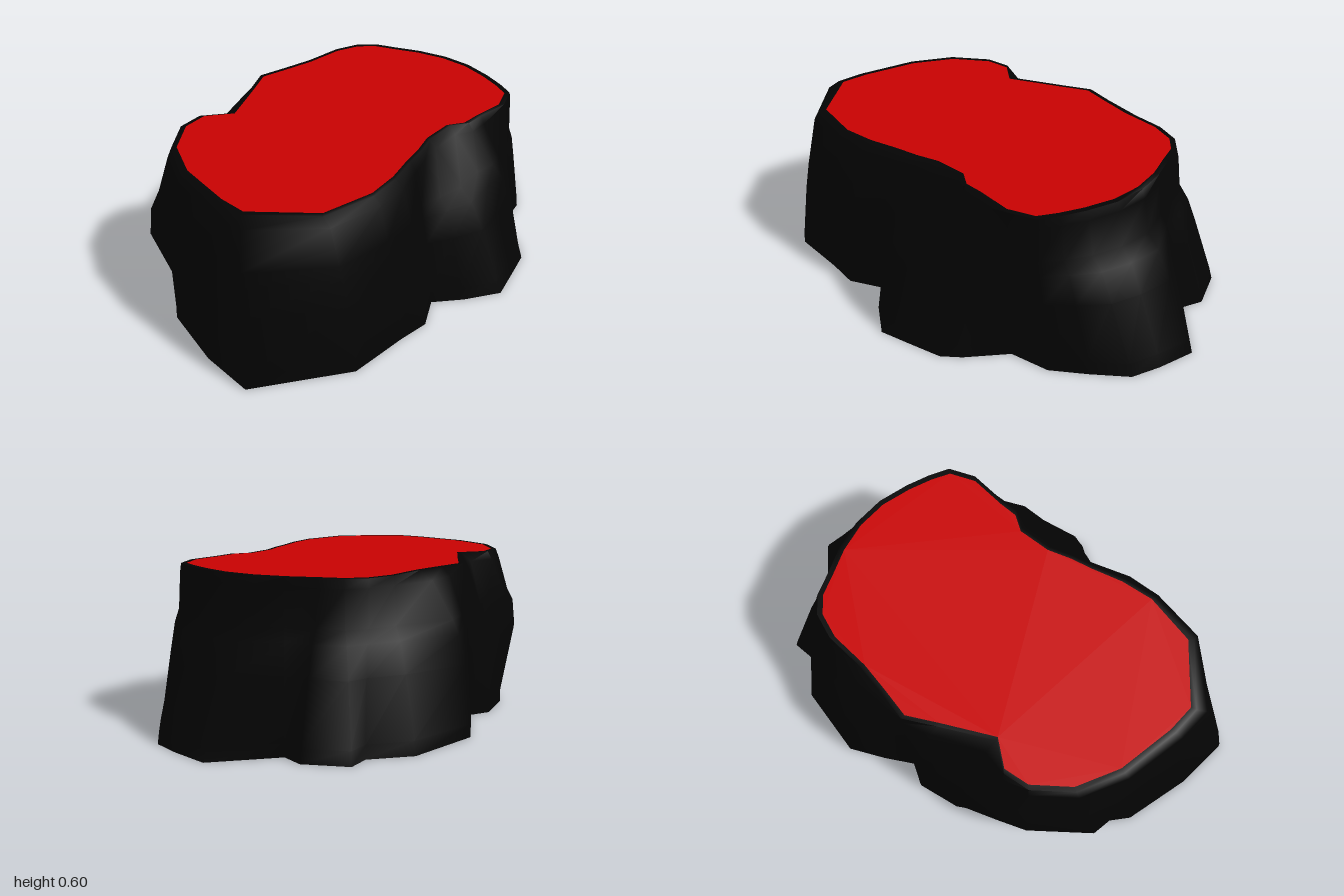
import * as THREE from 'three';
import { toCreasedNormals } from 'three/addons/utils/BufferGeometryUtils.js';

// Columns around the rock: widest x, widest z, rim x, rim z
const columns = [
  [0.02, -1, 0, -0.71], [0.17, -0.95, 0.13, -0.69], [0.28, -0.9, 0.25, -0.64],
  [0.37, -0.77, 0.34, -0.59], [0.45, -0.64, 0.41, -0.54], [0.465, -0.48, 0.44, -0.43],
  [0.6, -0.35, 0.41, -0.28], [0.65, -0.28, 0.4, -0.2], [0.67, -0.15, 0.35, -0.14],
  [0.69, -0.01, 0.34, 0], [0.59, 0.11, 0.36, 0.1], [0.49, 0.2, 0.37, 0.2],
  [0.54, 0.33, 0.39, 0.33], [0.51, 0.46, 0.39, 0.47], [0.47, 0.7, 0.32, 0.68],
  [0.2, 1, 0.08, 0.83], [-0.02, 0.95, -0.04, 0.81], [-0.28, 0.84, -0.28, 0.73],
  [-0.47, 0.75, -0.44, 0.62], [-0.61, 0.52, -0.53, 0.47], [-0.64, 0.4, -0.53, 0.36],
  [-0.65, 0.2, -0.44, 0.27], [-0.66, 0.02, -0.52, 0.05], [-0.6, -0.06, -0.57, -0.08],
  [-0.65, -0.18, -0.53, -0.2], [-0.7, -0.33, -0.49, -0.33], [-0.6, -0.62, -0.46, -0.5],
  [-0.46, -0.73, -0.41, -0.6], [-0.45, -0.82, -0.34, -0.65], [-0.28, -0.87, -0.25, -0.67],
  [-0.2, -0.83, -0.13, -0.7],
];

// Ring heights, and how far each ring has moved from the widest point to the rim
const heights = [0, 0.05, 0.27, 0.38, 0.43, 0.57, 0.604];
const slopes = {
  plain: [0, 0.03, 0.27, 0.43, 0.52, 0.77, 1],
  back: [0, 0.07, 0.46, 0.67, 0.86, 0.95, 1],
  lobe: [0, 0.06, 0.29, 0.44, 0.58, 0.92, 1],
  undercut: [0.75, 0.55, 0, 0.12, 0.4, 0.85, 1],
  left: [0, 0, 0.12, 0.25, 0.36, 0.75, 1],
};
const topY = 0.604;

// Which slope a column follows
function slopeAt(x, z) {
  if (z < -0.6) return slopes.back;
  if (x > 0.4 && z < 0.2) return slopes.lobe;
  if (x < -0.45 && z > 0.3) return slopes.undercut;
  return x < -0.64 ? slopes.left : slopes.plain;
}

// Edge of the coloured top, just inside the rim
const inset = ([, , x, z]) => [-0.06 + (x + 0.06) * 0.965, 0.04 + (z - 0.04) * 0.972];

// Open-bottomed rock wall with a narrow flat rim
function wallGeometry() {
  const positions = [], index = [], n = columns.length;
  heights.forEach((y, level) => {
    for (const [x, z, rimX, rimZ] of columns) {
      const t = slopeAt(x, z)[level];
      positions.push(x + (rimX - x) * t, y, z + (rimZ - z) * t);
    }
  });
  for (const column of columns) {
    const [x, z] = inset(column);
    positions.push(x, topY, z);
  }
  for (let level = 0; level < heights.length; level++) {
    for (let i = 0; i < n; i++) {
      const a = level * n + i, b = level * n + (i + 1) % n;
      index.push(a, a + n, b, b, a + n, b + n);
    }
  }
  const geometry = new THREE.BufferGeometry();
  geometry.setAttribute('position', new THREE.Float32BufferAttribute(positions, 3));
  geometry.setIndex(index);
  return toCreasedNormals(geometry, 1.2);
}

// Flat coloured cap
function capGeometry() {
  const outline = columns.map((column) => {
    const [x, z] = inset(column);
    return new THREE.Vector2(x, -z);
  });
  return new THREE.ShapeGeometry(new THREE.Shape(outline)).rotateX(-Math.PI / 2).translate(0, topY, 0);
}

export function createModel() {
  const group = new THREE.Group();
  group.name = 'rockMesa';
  const add = (name, geometry, color) => {
    const material = new THREE.MeshStandardMaterial({ color, side: THREE.DoubleSide });
    const mesh = new THREE.Mesh(geometry, material);
    mesh.name = name;
    group.add(mesh);
  };
  add('rockWall', wallGeometry(), 0x040404);
  add('topSurface', capGeometry(), 0xcc0202);
  return group;
}
